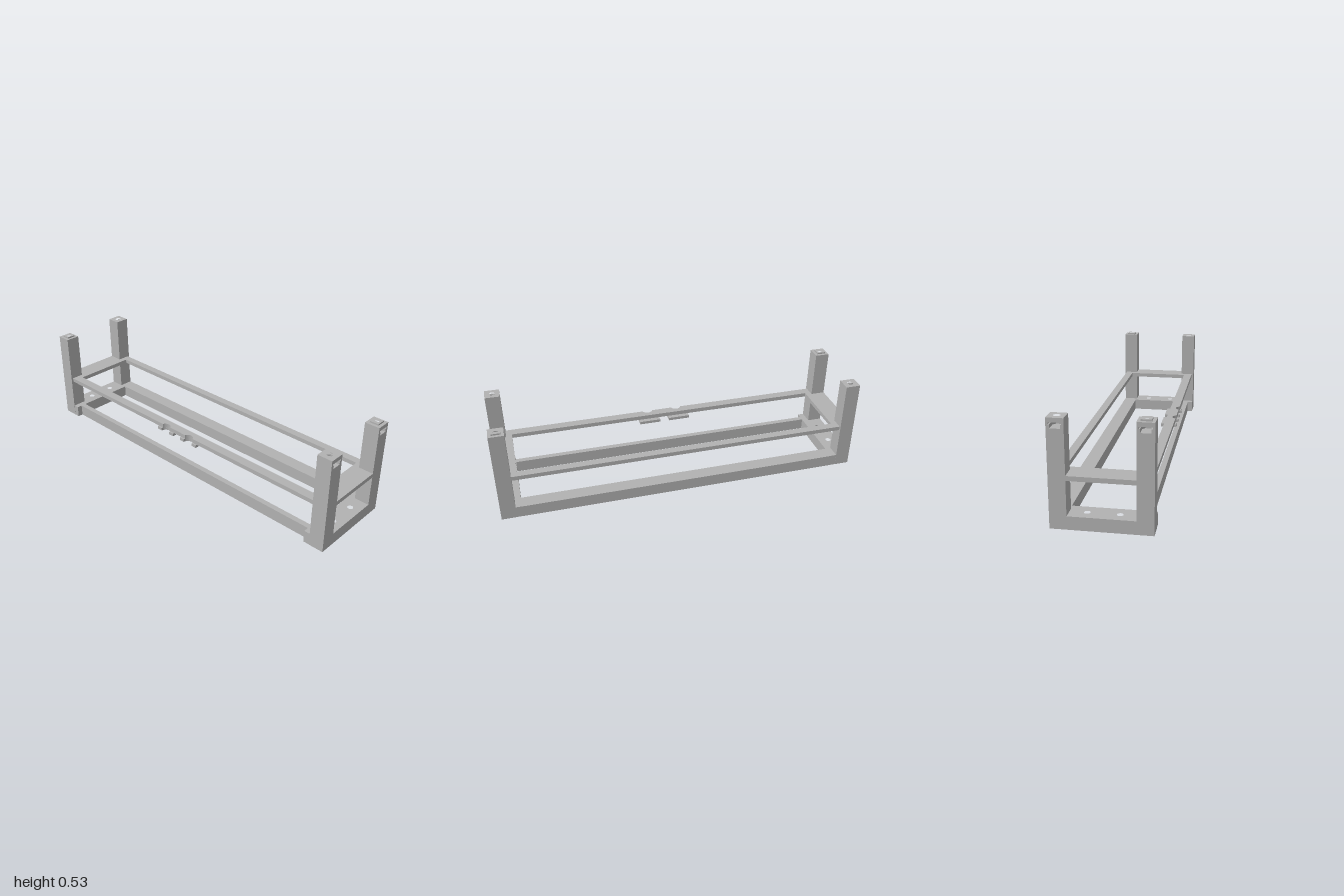
import * as THREE from 'three';

const grey = new THREE.MeshStandardMaterial({ color: 0xb2b2b2 });
grey.name = 'grey plastic';

// Mesh filling the given x, y and z ranges
function block(name, [x0, x1], [y0, y1], [z0, z1]) {
  const mesh = new THREE.Mesh(new THREE.BoxGeometry(x1 - x0, y1 - y0, z1 - z0), grey);
  mesh.position.set((x0 + x1) / 2, (y0 + y1) / 2, (z0 + z1) / 2);
  mesh.name = name;
  return mesh;
}

// Plan outline (x, z) raised from y0 to y1
function slab(name, points, y0, y1, holes = []) {
  const shape = new THREE.Shape(points.map(([x, z]) => new THREE.Vector2(x, -z)));
  for (const [x, z, r] of holes) {
    shape.holes.push(new THREE.Path().absarc(x, -z, r, 0, Math.PI * 2, true));
  }
  const geometry = new THREE.ExtrudeGeometry(shape, { depth: y1 - y0, bevelEnabled: false, curveSegments: 16 });
  geometry.rotateX(-Math.PI / 2);
  geometry.translate(0, y0, 0);
  const mesh = new THREE.Mesh(geometry, grey);
  mesh.name = name;
  return mesh;
}

const rect = (x0, x1, z0, z1) => [[x0, z0], [x1, z0], [x1, z1], [x0, z1]];

// Corner post around its own centre, with a nut pocket opening towards +x
function post(hasBoss) {
  const g = new THREE.Group();
  const h = 0.04;
  const bore = [[0, 0, 0.016]];
  const pocket = (w) => [
    [-h, -h], [h, -h], [h, -w], [-0.014, -w], [-0.028, -w / 2],
    [-0.028, w / 2], [-0.014, w], [h, w], [h, h], [-h, h],
  ];
  g.add(slab('postShaft', rect(-h, h, -h, h), 0, 0.47));
  g.add(slab('nutPocket', pocket(0.024), 0.47, 0.488));
  g.add(slab('washerSlot', pocket(0.03), 0.488, 0.497));
  g.add(slab('postTop', rect(-h, h, -h, h), 0.497, 0.518, bore));
  if (hasBoss) g.add(slab('locatingBoss', rect(-0.024, 0.024, -0.024, 0.024), 0.518, 0.526, bore));
  g.name = 'cornerPost';
  return g;
}

// Plan outline with round notches bitten into its front edge
function notched(x0, x1, z0, z1, notches) {
  const pts = [[x0, z0], [x0, z1]];
  for (const x of notches) {
    const r = 0.03, zc = 0.235;
    const a0 = Math.asin((zc - z1) / r);
    for (let i = 0; i <= 12; i++) {
      const a = a0 + (Math.PI - 2 * a0) * i / 12;
      pts.push([x - r * Math.cos(a), zc - r * Math.sin(a)]);
    }
  }
  pts.push([x1, z1], [x1, z0]);
  return pts;
}

export function createModel() {
  const model = new THREE.Group();
  model.name = 'stackingFrame';
  const inner = 0.887, baseTop = 0.065, railY = [0.233, 0.256];
  const clips = [-0.075, 0.098];

  for (const s of [-1, 1]) {
    // Posts: bosses sit on one diagonal
    for (const t of [-1, 1]) {
      const p = post(s !== t);
      if (s < 0) p.rotation.y = Math.PI;
      p.position.set(s * 0.96, 0, t * 0.196);
      model.add(p);
    }
    // End pieces of the base, with screw holes, and of the upper frame
    const [x0, x1] = s < 0 ? [-1, -inner] : [inner, 1];
    model.add(slab('baseEnd', rect(x0, x1, -0.235, 0.235), 0, baseTop,
      [[s * 0.945, -0.075, 0.015], [s * 0.945, 0.075, 0.015]]));
    model.add(block('upperEnd', [x0, x1], railY, [-0.158, 0.158]));
    const gap = s < 0 ? [-0.92, -inner] : [inner, 0.92];
    model.add(block('upperCornerBack', gap, railY, [-0.225, -0.158]));
    model.add(block('upperCornerFront', gap, railY, [0.158, 0.225]));
  }

  // Long bars
  model.add(block('baseBackBar', [-inner, inner], [0, baseTop], [-0.236, -0.16]));
  model.add(block('baseFrontBar', [-inner, inner], [0, baseTop], [0.175, 0.205]));
  model.add(block('upperBackRail', [-inner, inner], railY, [-0.225, -0.183]));
  model.add(slab('upperFrontRail', notched(-inner, inner, 0.175, 0.225, clips), ...railY));

  // Notched holders under the front rail
  for (const x of clips) {
    model.add(slab('cableHolder', notched(x - 0.06, x + 0.06, 0.15, 0.234, [x]), 0.217, railY[0]));
  }
  return model;
}
